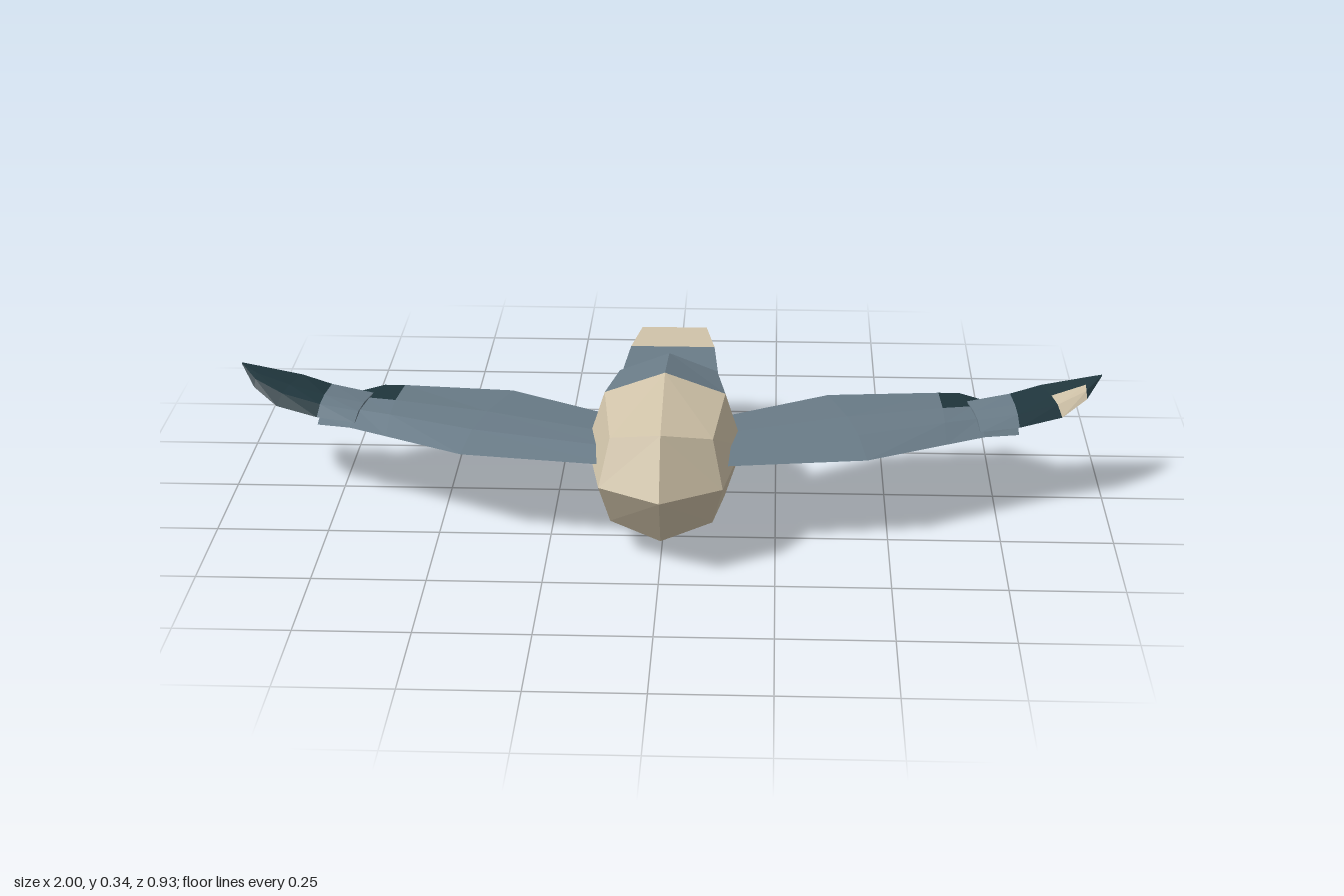
import * as THREE from 'three';

const TAN = 0, GREY = 1, DARK = 2;

// Collects flat triangles per colour and turns them into one mesh.
class Facets {
  constructor() { this.lists = [[], [], []]; }
  tri(mat, a, b, c) { this.lists[mat].push(...a, ...b, ...c); }
  mesh(name, materials) {
    const g = new THREE.BufferGeometry();
    g.setAttribute('position', new THREE.Float32BufferAttribute(this.lists.flat(), 3));
    let start = 0;
    this.lists.forEach((l, m) => {
      if (l.length) g.addGroup(start, l.length / 3, m);
      start += l.length / 3;
    });
    g.computeVertexNormals();
    const mesh = new THREE.Mesh(g, materials);
    mesh.name = name;
    return mesh;
  }
}

// Skins a row of closed sections; colour(segment, side) picks the material.
function loft(sections, flip, colour) {
  const f = new Facets(), n = sections[0].length, last = sections.length - 1;
  const tri = (m, a, b, c) => flip ? f.tri(m, a, c, b) : f.tri(m, a, b, c);
  for (let i = 0; i < last; i++) {
    for (let j = 0; j < n; j++) {
      const k = (j + 1) % n, m = colour(i, j);
      const [a, b, c, d] = [sections[i][j], sections[i][k], sections[i + 1][k], sections[i + 1][j]];
      tri(m, a, d, c);
      tri(m, a, c, b);
    }
  }
  for (let j = 1; j < n - 1; j++) {
    const s = sections[0], e = sections[last];
    tri(colour(0, 0), s[0], s[j], s[j + 1]);
    tri(colour(last - 1, 2), e[0], e[j + 1], e[j]);
  }
  return f;
}

// Wing section: leading edge, two top points, trailing edge, two bottom points.
function wingSection([xL, zL, xT, zT, yL, yT, h], side) {
  const at = (t, dy) => [side * (xL + (xT - xL) * t), yL + (yT - yL) * t + dy, zL + (zT - zL) * t];
  return [at(0, 0), at(0.22, h), at(0.5, h), at(1, 0), at(0.5, -h), at(0.22, -h)];
}

// Body: a rounded 2x2x2 cage with a grey back over a tan belly.
function buildBody() {
  const f = new Facets();
  const box = new THREE.BoxGeometry(2, 2, 2, 2, 2, 2);
  const p = box.attributes.position, ix = box.index.array;
  const edge = [0.77, 0.72, 0.75], corner = [0.64, 0.57, 0.61];
  const radius = [0.175, 0.1725, 0.335], centre = [0, 0.1725, 0.132];
  const unit = (i) => [p.getX(i), p.getY(i), p.getZ(i)].map(Math.round);
  const place = (u) => {
    const count = u.filter((v) => v !== 0).length;
    return u.map((v, k) => centre[k] + v * radius[k] * (count === 1 ? 1 : count === 2 ? edge[k] : corner[k]));
  };
  for (let i = 0; i < ix.length; i += 6) {
    const [a, b, c, d] = [ix[i], ix[i + 1], ix[i + 4], ix[i + 2]].map(unit);
    const right = a[0] + b[0] + c[0] + d[0] > 0;
    const pair = right ? [[a, b, c], [a, c, d]] : [[a, b, d], [b, c, d]];
    for (const t of pair) {
      const y = (t[0][1] + t[1][1] + t[2][1]) / 3;
      const z = t[0][2] + t[1][2] + t[2][2];
      f.tri(y > 0.5 && z < 0 ? GREY : TAN, ...t.map(place));
    }
  }
  return f;
}

// Stations: leading x, z, trailing x, z, leading y, trailing y, half thickness
const WING = [
  [0.10, 0.30, 0.10, 0.02, 0.190, 0.190, 0.018],
  [0.45, 0.24, 0.37, -0.165, 0.186, 0.180, 0.025],
  [0.63, 0.133, 0.63, -0.205, 0.182, 0.174, 0.025],
  [0.72, 0.08, 0.68, -0.215, 0.180, 0.170, 0.021],
  [0.80, 0.04, 0.80, -0.125, 0.170, 0.168, 0.007],
];
const TIP = [
  [0.71, 0.07, 0.69, -0.10, 0.188, 0.195, 0.012],
  [0.80, 0.045, 0.79, -0.122, 0.190, 0.207, 0.014],
  [0.90, 0.00, 0.86, -0.136, 0.198, 0.224, 0.014],
  [0.96, -0.055, 0.96, -0.134, 0.222, 0.245, 0.009],
  [1.00, -0.125, 1.00, -0.131, 0.253, 0.254, 0.001],
];

export function createModel() {
  const group = new THREE.Group();
  const materials = [['tan', 0xcfc2a8], ['slateGrey', 0x6a7c88], ['darkTeal', 0x20363d]].map(([name, color]) => {
    const m = new THREE.MeshStandardMaterial({ color });
    m.name = name;
    return m;
  });

  group.add(buildBody().mesh('body', materials));

  // Wings with dark rear corners, and raised dark tips with tan flecks
  for (const side of [1, -1]) {
    const label = side > 0 ? 'left' : 'right';
    const wing = loft(WING.map((s) => wingSection(s, side)), side < 0, (i, j) =>
      (i >= 2 && (j === 2 || j === 3)) || (i === 3 && j >= 3) ? DARK : GREY);
    group.add(wing.mesh(label + 'Wing', materials));

    const tip = loft(TIP.map((s) => wingSection(s, side)), side < 0, (i, j) => {
      if (i === 0) return j < 3 ? GREY : DARK;
      if (i === 2 && (j === 5 || (side > 0 && j < 2))) return TAN;
      return DARK;
    });
    group.add(tip.mesh(label + 'WingTip', materials));
  }

  // Tail: flat tapering slab with a tan end
  const tail = [
    [-0.08, 0.118, 0.232, 0.188],
    [-0.335, 0.10, 0.232, 0.200],
    [-0.453, 0.078, 0.238, 0.217],
    [-0.465, 0.075, 0.222, 0.218],
  ].map(([z, w, t, b]) => [[-w, t, z], [w, t, z], [w, b, z], [-w, b, z]]);
  group.add(loft(tail, true, (i) => (i === 0 ? GREY : TAN)).mesh('tail', materials));

  return group;
}
